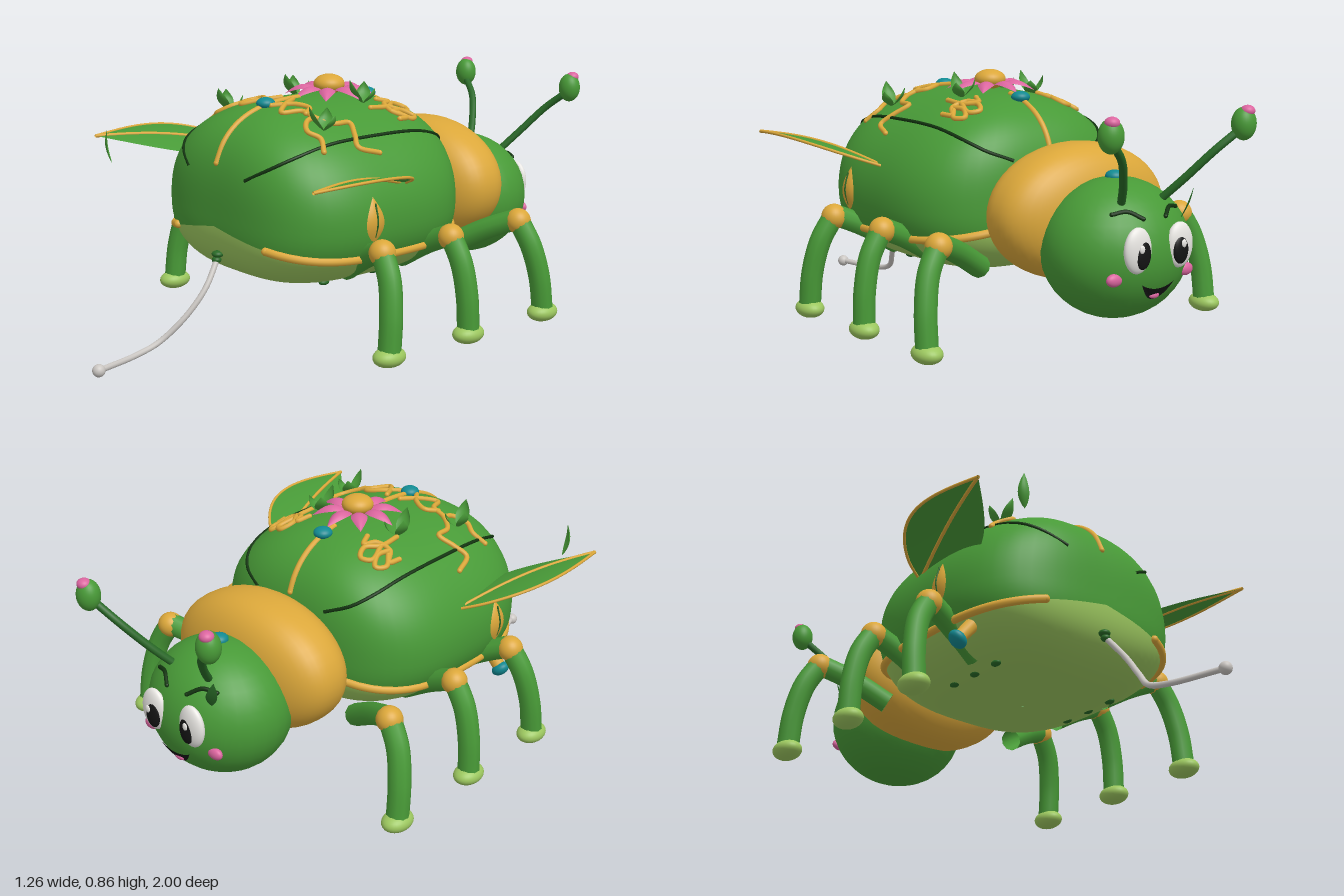
import * as THREE from 'three';
import { ParametricGeometry } from 'three/addons/geometries/ParametricGeometry.js';

const mat = (name, color, side = THREE.FrontSide) => {
  const m = new THREE.MeshStandardMaterial({ color, side });
  m.name = name;
  return m;
};
const V = (x, y, z) => new THREE.Vector3(x, y, z);

// Body dimensions: round across, boxier along its length
const CY = 0.45, CZ = 0.075, RX = 0.45, RZ = 0.43, UP = 0.35, DOWN = 0.26, P = 3;

// Width and length factors of the horizontal section at height y
function section(y) {
  const t = Math.min(1, Math.abs(y - CY) / (y > CY ? UP : DOWN));
  const q = y > CY ? 2 : 2.4;
  return [Math.pow(1 - t ** q, 1 / q), Math.pow(1 - t ** 3, 1 / 3)];
}
function bodyPoint(theta, y, grow = 1) {
  const c = Math.cos(theta), s = Math.sin(theta);
  const r = grow * Math.pow(Math.abs(c) ** P + Math.abs(s) ** P, -1 / P);
  const [kx, kz] = section(y);
  return V(RX * r * kx * c, y, CZ - RZ * r * kz * s);
}
// Height of the joint between shell and belly, rising toward the ends
function jointY(theta) {
  const c = Math.abs(Math.cos(theta)), s = Math.abs(Math.sin(theta));
  return 0.41 - 0.08 * c * Math.pow(c ** P + s ** P, -1 / P);
}
// Point on the shell above (x, z), found by bisection
function onShell(x, z, lift = 0) {
  let lo = CY, hi = CY + UP;
  for (let i = 0; i < 30; i++) {
    const mid = (lo + hi) / 2, [kx, kz] = section(mid);
    if (Math.abs(x / RX / kx) ** P + Math.abs((z - CZ) / RZ / kz) ** P < 1) lo = mid;
    else hi = mid;
  }
  return V(x, lo + lift, z);
}
// Face surface of the head
const HEAD = V(0, 0.35, -0.67);
const onHead = (x, y, lift = 0) =>
  V(x, y, HEAD.z - 0.22 * Math.sqrt(Math.max(0, 1 - (x / 0.25) ** 2 - ((y - HEAD.y) / 0.22) ** 2)) - lift);

export function createModel() {
  const model = new THREE.Group();
  model.name = 'beetle';
  const green = mat('leaf green', 0x489a37, THREE.DoubleSide);
  const dark = mat('dark green', 0x286826, THREE.DoubleSide);
  const seamCol = mat('seam green', 0x12330f);
  const lime = mat('lime', 0x9cc75f);
  const gold = mat('gold', 0xdba73a, THREE.DoubleSide);
  const pink = mat('pink', 0xdb659f, THREE.DoubleSide);
  const teal = mat('teal', 0x128a92);
  const silver = mat('silver', 0xcac6c2);
  const white = mat('white', 0xf2f0ec);
  const black = mat('black', 0x141414, THREE.DoubleSide);

  const add = (name, geo, material, pos) => {
    const m = new THREE.Mesh(geo, material);
    m.name = name;
    if (pos) m.position.copy(pos);
    model.add(m);
    return m;
  };
  const ball = (name, material, pos, rx, ry = rx, rz = rx) => {
    const m = add(name, new THREE.SphereGeometry(1, 32, 20), material, pos);
    m.scale.set(rx, ry, rz);
    return m;
  };
  const tube = (name, material, pts, r, seg = pts.length * 8) =>
    add(name, new THREE.TubeGeometry(new THREE.CatmullRomCurve3(pts), seg, r, 10), material);
  const cappedTube = (name, material, pts, r) => {
    tube(name, material, pts, r);
    [pts[0], pts[pts.length - 1]].forEach((p) => ball(name + 'End', material, p, r));
  };
  // Pointed leaf between two points, widened along side and arched along lift
  const leaf = (name, material, base, tip, side, half, lift) => {
    const f = (u, v) => base.clone().lerp(tip, u)
      .addScaledVector(side, (v * 2 - 1) * half * Math.sin(Math.PI * Math.pow(u, 0.8)))
      .addScaledVector(lift, Math.sin(Math.PI * u) * (1 - 0.5 * (v * 2 - 1) ** 2));
    add(name, new ParametricGeometry((u, v, t) => t.copy(f(0.001 + 0.998 * u, v)), 14, 6), material);
    return f;
  };

  // Shell and belly
  const shellY = (th, v) => { const b = jointY(th); return b + (CY + UP - b) * Math.sin(v * 1.569); };
  const bellyY = (th, v) => { const b = jointY(th); return b - (b - CY + DOWN) * Math.sin((1 - v) * 1.569); };
  add('shell', new ParametricGeometry((u, v, t) => {
    const th = u * Math.PI * 2;
    t.copy(bodyPoint(th, shellY(th, v)));
  }, 72, 32), green);
  add('belly', new ParametricGeometry((u, v, t) => {
    const th = u * Math.PI * 2;
    t.copy(bodyPoint(th, bellyY(th, v)));
  }, 72, 18), lime);

  // Collar: a fat rounded cushion
  add('collar', new ParametricGeometry((u, v, t) => {
    const a = u * Math.PI * 2, b = (v - 0.5) * 3.138;
    const d = V(Math.cos(b) * Math.cos(a), Math.cos(b) * Math.sin(a), Math.sin(b));
    const k = Math.pow(Math.hypot(d.x, d.y) ** 2.5 + Math.abs(d.z) ** 2.5, -1 / 2.5);
    t.set(0.33 * k * d.x, 0.44 + 0.225 * k * d.y, -0.478 + 0.155 * k * d.z);
  }, 48, 28), gold);

  // Head and face
  ball('head', green, HEAD, 0.25, 0.225, 0.22);
  ball('headGem', teal, V(0, 0.575, -0.665), 0.03, 0.02, 0.03);
  for (const s of [-1, 1]) {
    const eye = onHead(s * 0.085, 0.38);
    ball('eyeWhite', white, eye, 0.052, 0.072, 0.024);
    ball('pupil', black, eye.clone().add(V(-s * 0.008, -0.012, -0.016)), 0.03, 0.045, 0.012);
    ball('eyeGlint', white, eye.clone().add(V(0.004, 0.008, -0.026)), 0.01, 0.013, 0.005);
    ball('cheek', pink, onHead(s * 0.145, 0.29), 0.03, 0.021, 0.016);
    cappedTube('eyebrow', seamCol,
      [onHead(s * 0.045, 0.47, 0.004), onHead(s * 0.085, 0.492, 0.004), onHead(s * 0.13, 0.485, 0.004)], 0.007);
    // Antenna with bulb
    tube('antenna', dark, [V(s * 0.08, 0.51, -0.79), V(s * 0.125, 0.58, -0.85),
      V(s * 0.19, 0.67, -0.915), V(s * 0.265, 0.735, -0.95)], 0.013);
    ball('antennaBulb', green, V(s * 0.267, 0.75, -0.957), 0.04, 0.052, 0.038);
    ball('antennaTip', pink, V(s * 0.272, 0.79, -0.967), 0.023, 0.018, 0.023);
  }
  const smile = new THREE.Shape();
  smile.moveTo(-0.065, 0.27);
  smile.quadraticCurveTo(0, 0.235, 0.065, 0.27);
  smile.quadraticCurveTo(0, 0.16, -0.065, 0.27);
  const mouth = new THREE.ShapeGeometry(smile, 16);
  const mp = mouth.attributes.position;
  for (let i = 0; i < mp.count; i++) mp.setZ(i, onHead(mp.getX(i), mp.getY(i), 0.008).z);
  mouth.computeVertexNormals();
  add('mouth', mouth, black);
  ball('tongue', pink, onHead(0, 0.228, 0.004), 0.02, 0.01, 0.008);
  leaf('headLeaf', dark, onHead(-0.13, 0.45), V(-0.165, 0.55, -0.85), V(0.8, 0, -0.6), 0.018, V(0, 0, -0.01));

  // Legs, wings, trim and vines, mirrored
  const legs = [[-0.33, -0.425, -0.475], [-0.08, -0.095, -0.105], [0.17, 0.215, 0.255]];
  for (const s of [-1, 1]) {
    for (const [hz, kz, fz] of legs) {
      tube('upperLeg', green, [V(s * 0.28, 0.26, hz), V(s * 0.4, 0.33, (hz + kz) / 2), V(s * 0.5, 0.375, kz)], 0.038);
      ball('knee', gold, V(s * 0.505, 0.37, kz), 0.044);
      tube('lowerLeg', green, [V(s * 0.505, 0.375, kz), V(s * 0.553, 0.29, kz * 0.7 + fz * 0.3),
        V(s * 0.578, 0.18, kz * 0.3 + fz * 0.7), V(s * 0.584, 0.06, fz)], 0.038);
      ball('foot', lime, V(s * 0.584, 0.052, fz), 0.046, 0.033, 0.06);
    }
    // Leaf wing with gold rib and rim
    const f = leaf('leafWing', green, V(s * 0.41, 0.555, 0.03), V(s * 0.592, 0.635, 0.575),
      V(s * 0.94, 0.26, -0.25), 0.125, V(0, 0.025, 0));
    const line = (v) => Array.from({ length: 11 }, (_, i) => f(i / 10, v));
    tube('wingRib', gold, line(0.5), 0.006, 40);
    tube('wingRim', gold, line(1), 0.005, 40);

    // Gold trim around the joint, open at the ends
    const trim = [];
    for (let i = 0; i <= 24; i++) {
      const a = THREE.MathUtils.degToRad(-60 + (i * 120) / 24);
      const th = s > 0 ? a : Math.PI - a;
      trim.push(bodyPoint(th, jointY(th), 1.005));
    }
    cappedTube('goldTrim', gold, trim, 0.014);

    // Shell seam
    tube('shellSeam', seamCol, [[0.15, 0.49], [0.235, 0.45], [0.28, 0.39], [0.305, 0.26], [0.31, 0.1],
      [0.305, -0.12], [0.28, -0.24], [0.235, -0.3], [0.15, -0.337]].map(([x, z]) => onShell(s * x, z)), 0.006, 70);

    // Vines and curls
    const vines = [
      [[0.03, 0.19], [0.07, 0.26], [0.11, 0.3], [0.14, 0.24], [0.19, 0.23], [0.24, 0.19], [0.25, 0.13], [0.3, 0.15], [0.34, 0.17], [0.365, 0.1]],
      [[0.03, 0.28], [0.08, 0.22], [0.13, 0.2], [0.16, 0.24]],
      [[0.19, 0.23], [0.2, 0.27], [0.24, 0.3], [0.28, 0.28], [0.32, 0.3]],
      [[0.13, -0.1], [0.15, -0.14], [0.17, -0.1], [0.22, -0.09], [0.25, -0.13], [0.26, -0.09]],
      [[0.19, -0.02], [0.19, -0.1], [0.16, -0.15], [0.18, -0.19], [0.21, -0.17], [0.19, -0.1]],
      [[0.22, -0.09], [0.21, -0.14], [0.235, -0.18], [0.255, -0.15], [0.23, -0.11]],
    ];
    for (const v of vines) cappedTube('vine', gold, v.map(([x, z]) => onShell(s * x, z, 0.004)), 0.009);

    // Gold leaf on the flank with a green vein
    leaf('flankLeaf', gold, V(s * 0.45, 0.39, 0.2), V(s * 0.442, 0.54, 0.2), V(0, 0, -s), 0.038, V(s * 0.022, 0, 0));
    tube('flankVein', dark, [V(s * 0.456, 0.41, 0.2), V(s * 0.469, 0.46, 0.2), V(s * 0.456, 0.52, 0.2)], 0.003);

    // Small buds on the belly
    for (const z of [0.02, 0.13, 0.24]) ball('bellyBud', dark, V(s * 0.25, 0.222, z), 0.014, 0.01, 0.02);
  }

  // Sprouts of three leaves
  for (const [x, z] of [[-0.18, 0], [0.14, -0.03], [0.25, 0.24], [-0.24, 0.25]]) {
    const b = onShell(x, z, -0.004);
    for (let i = 0; i < 3; i++) {
      const a = Math.PI / 2 + i * 2.1 + x;
      leaf('sproutLeaf', green, b, b.clone().add(V(Math.cos(a) * 0.04, 0.085 - i * 0.015, Math.sin(a) * 0.055)),
        V(-Math.sin(a), 0, Math.cos(a)), 0.024, V(Math.cos(a) * 0.015, 0, Math.sin(a) * 0.015));
    }
  }

  // Gold spine with gems
  for (const [a, b] of [[-0.337, -0.12], [0.14, 0.488]]) {
    const pts = Array.from({ length: 13 }, (_, i) => onShell(0, a + ((b - a) * i) / 12));
    cappedTube('spine', gold, pts, 0.01);
  }
  for (const z of [-0.175, 0.28]) ball('backGem', teal, onShell(0, z, 0.008), 0.032, 0.02, 0.032);

  // Flower
  for (let i = 0; i < 8; i++) {
    const a = (i * Math.PI) / 4, c = Math.cos(a), s = Math.sin(a);
    leaf('petal', pink, V(c * 0.03, 0.812, s * 0.03), V(c * 0.155, 0.795, s * 0.155), V(-s, 0, c), 0.028, V(0, 0.026, 0));
  }
  ball('flowerCentre', gold, V(0, 0.832, 0), 0.054, 0.034, 0.054);

  // Tail wire
  ball('tailBase', dark, V(0, 0.312, 0.49), 0.02, 0.012, 0.02);
  ball('tailBase', dark, V(0, 0.293, 0.495), 0.016, 0.012, 0.016);
  tube('tail', silver, [V(0, 0.3, 0.49), V(0.022, 0.21, 0.56), V(0.005, 0.12, 0.635), V(-0.03, 0.045, 0.715),
    V(-0.03, 0.022, 0.8), V(0.022, 0.025, 0.97)], 0.01);
  ball('tailBall', silver, V(0.024, 0.025, 0.98), 0.021);

  // Small spout under the flank
  const spout = add('spout', new THREE.CylinderGeometry(0.026, 0.022, 0.1, 16), gold, V(-0.395, 0.285, 0.27));
  spout.rotation.z = -0.7;
  ball('spoutCap', teal, V(-0.43, 0.243, 0.27), 0.034, 0.022, 0.03).rotation.z = -0.7;

  // Loose drifting leaf
  leaf('looseLeaf', green, V(-0.435, 0.565, 0.61), V(-0.445, 0.685, 0.62), V(0.8, 0, 0.6), 0.018, V(-0.015, 0, 0.008));
  return model;
}
